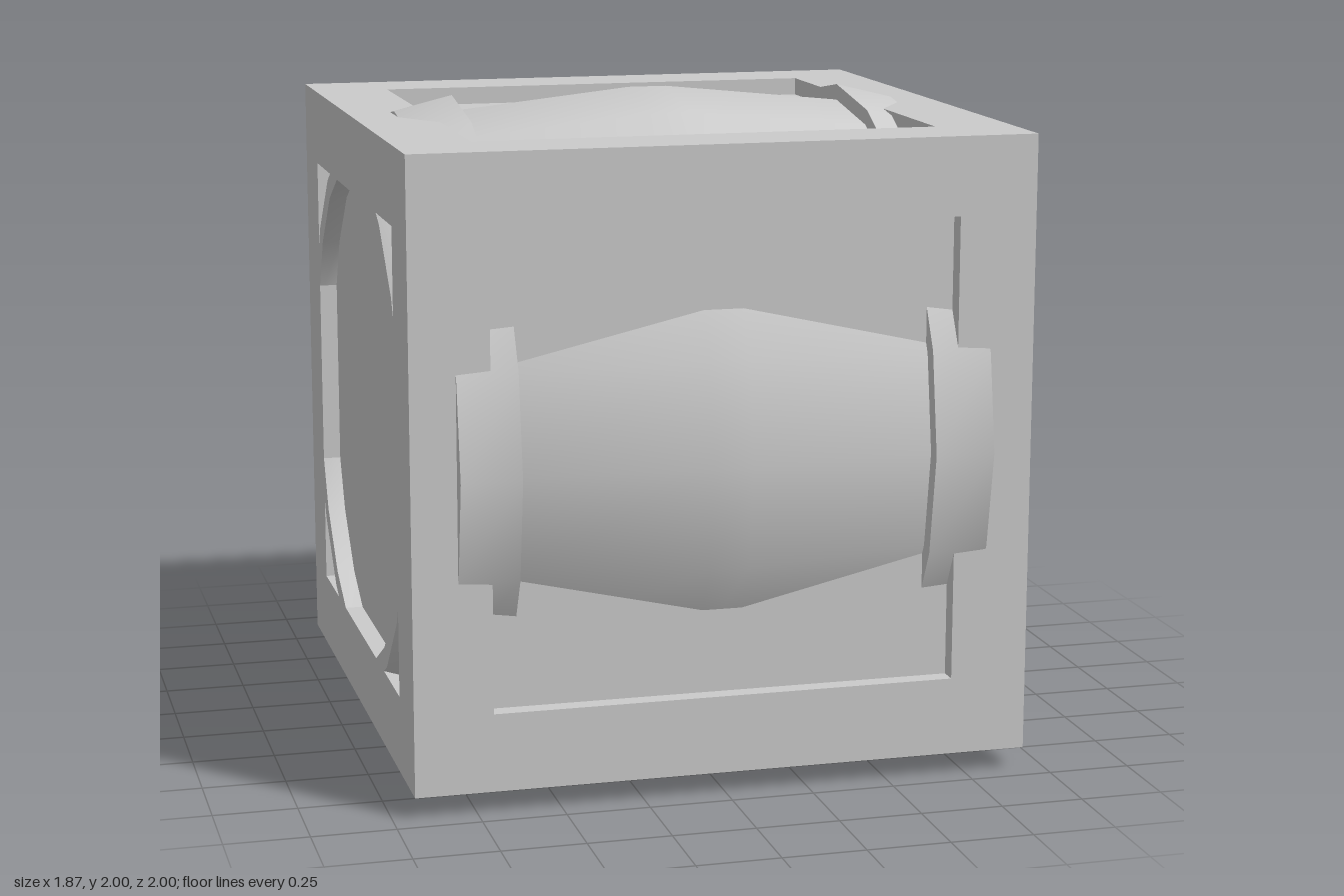
import * as THREE from 'three';
import { toCreasedNormals } from 'three/addons/utils/BufferGeometryUtils.js';

const HALF = 0.935;   // outer half size of the crate
const FLOOR = 0.88;   // half size at the recessed panels
const OPEN = 0.7;     // half size of the panel openings
const SIDES = 20;

const material = new THREE.MeshStandardMaterial({ color: 0xcccccc });

function add(parent, geometry, name) {
  const mesh = new THREE.Mesh(geometry, material);
  mesh.name = name;
  parent.add(mesh);
  return mesh;
}

// Turned solid around the x axis from [radius, x] pairs
function turned(profile) {
  const points = profile.map(([r, x]) => new THREE.Vector2(r, x));
  return new THREE.LatheGeometry(points, SIDES).rotateZ(-Math.PI / 2);
}

// Raised border of one crate face, looking along +z
function border(halfWidth, halfHeight) {
  const shape = new THREE.Shape([
    new THREE.Vector2(-halfWidth, -halfHeight), new THREE.Vector2(halfWidth, -halfHeight),
    new THREE.Vector2(halfWidth, halfHeight), new THREE.Vector2(-halfWidth, halfHeight),
  ]);
  shape.holes.push(new THREE.Path([
    new THREE.Vector2(-OPEN, -OPEN), new THREE.Vector2(-OPEN, OPEN),
    new THREE.Vector2(OPEN, OPEN), new THREE.Vector2(OPEN, -OPEN),
  ]));
  return new THREE.ExtrudeGeometry(shape, { depth: HALF - FLOOR, bevelEnabled: false })
    .translate(0, 0, FLOOR);
}

export function createModel() {
  const model = new THREE.Group();
  model.name = 'barrelCrate';
  const body = new THREE.Group();
  body.name = 'body';
  body.position.y = 1;
  model.add(body);

  // Crate: inner panels and six borders that meet without overlapping
  add(body, new THREE.BoxGeometry(2 * FLOOR, 2 * FLOOR, 2 * FLOOR), 'panels');
  for (const s of [1, -1]) {
    add(body, border(HALF, HALF).rotateY(s > 0 ? 0 : Math.PI), s > 0 ? 'frontBorder' : 'backBorder');
    add(body, border(HALF, FLOOR).rotateX(-s * Math.PI / 2), s > 0 ? 'topBorder' : 'bottomBorder');
    add(body, border(FLOOR, FLOOR).rotateY(s * Math.PI / 2), s > 0 ? 'leftBorder' : 'rightBorder');
  }

  // Barrel bulging through four faces, with a raised rim at each end
  const half = [[1, 0.06], [0.94, 0.63], [0.862, FLOOR], [0.83, HALF], [0.766, HALF], [0.766, FLOOR]];
  const mirrored = half.map(([r, x]) => [r, -x]).reverse();
  add(body, toCreasedNormals(turned([...mirrored, ...half]), 0.6), 'barrel');

  // Hoops, narrowing in height towards the ends of the barrel
  for (const s of [1, -1]) {
    const hoop = turned([[0.85, 0.62], [0.85, 0.62], [0.99, 0.62], [0.99, 0.8], [0.85, 0.8], [0.85, 0.62]]
      .slice(1).map(([r, x]) => [r, x - 0.71]));
    const p = hoop.attributes.position;
    for (let i = 0; i < p.count; i++) {
      if (p.getX(i) * s > 0) p.setY(i, p.getY(i) * 0.955);
    }
    // Profile runs outward first, so flip the winding to face out
    const outward = p.count && hoopFacesOut(hoop);
    if (!outward) flip(hoop);
    const mesh = add(body, toCreasedNormals(hoop, 0.6), s > 0 ? 'leftHoop' : 'rightHoop');
    mesh.position.x = 0.71 * s;
  }
  return model;
}

// Signed volume tells whether a closed surface faces outward
function hoopFacesOut(geometry) {
  const p = geometry.attributes.position, index = geometry.index;
  const [a, b, c] = [0, 1, 2].map(() => new THREE.Vector3());
  let volume = 0;
  for (let i = 0; i < index.count; i += 3) {
    [a, b, c].forEach((v, k) => v.fromBufferAttribute(p, index.getX(i + k)));
    volume += a.dot(b.cross(c));
  }
  return volume > 0;
}

function flip(geometry) {
  const index = geometry.index;
  for (let i = 0; i < index.count; i += 3) {
    const first = index.getX(i);
    index.setX(i, index.getX(i + 1));
    index.setX(i + 1, first);
  }
}
